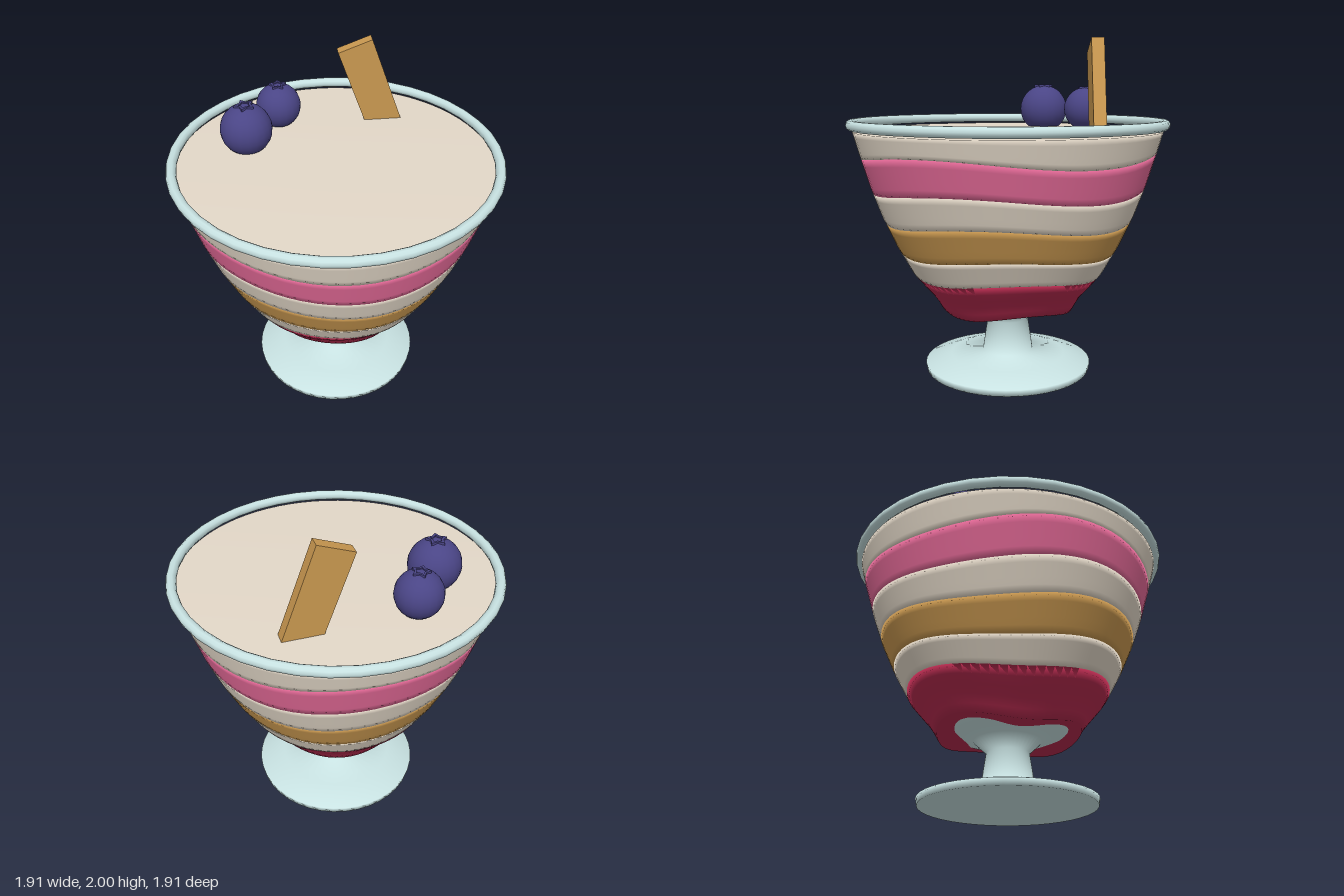
import * as THREE from 'three';

const paint = (name, color) => {
  const m = new THREE.MeshStandardMaterial({ color });
  m.name = name;
  return m;
};
const V2 = (x, y) => new THREE.Vector2(x, y);

export function createModel() {
  const group = new THREE.Group();
  const glass = paint('pale glass', 0xc8e2e2);
  const cream = paint('cream', 0xe3d8c8);
  const pink = paint('pink mousse', 0xe56a98);
  const caramel = paint('caramel', 0xc99850);
  const red = paint('red jelly', 0xb52a4e);
  const navy = paint('berry blue', 0x4a4586);

  const add = (name, geometry, material, parent = group) => {
    const mesh = new THREE.Mesh(geometry, material);
    mesh.name = name;
    parent.add(mesh);
    return mesh;
  };

  // Foot, stem and the lower part of the cup
  const footProfile = [
    [0, 0], [0.505, 0], [0.512, 0.04], [0.35, 0.085], [0.155, 0.11], [0.125, 0.31],
    [0.2, 0.38], [0.31, 0.41], [0.432, 0.47], [0.4, 0.5], [0, 0.5],
  ].map(p => V2(...p));
  add('glassFoot', new THREE.LatheGeometry(footProfile, 40), glass);

  // Rim ring
  const rim = add('glassRim', new THREE.TorusGeometry(0.925, 0.03, 10, 40), glass);
  rim.rotation.x = Math.PI / 2;
  rim.position.y = 1.512;

  // Radius of the filled cup at a given height
  const wall = [[0.35, 0.385], [0.385, 0.4], [0.47, 0.448], [0.62, 0.578], [0.8, 0.678],
    [0.98, 0.76], [1.15, 0.822], [1.36, 0.885], [1.475, 0.917]];
  const radiusAt = y => {
    let i = 1;
    while (i < wall.length - 1 && wall[i][0] < y) i++;
    const [[y0, r0], [y1, r1]] = [wall[i - 1], wall[i]];
    return r0 + (r1 - r0) * (y - y0) / (y1 - y0);
  };

  // Wavy boundaries between layers: height, wave size, angle of a trough in degrees
  const levels = [
    [0.41, 0.026, 30], [0.64, 0.026, 20], [0.783, 0.027, 14], [0.968, 0.03, 5],
    [1.143, 0.028, -4], [1.338, 0.028, -14], [1.475, 0, 0],
  ];
  const edge = ([y, size, dip], angle) => y - size * Math.cos(3 * (angle - dip * Math.PI / 180));

  const layers = [
    ['redLayer', red], ['lowerCreamLayer', cream], ['caramelLayer', caramel],
    ['middleCreamLayer', cream], ['pinkLayer', pink], ['topCreamLayer', cream],
  ];
  const rows = 5;
  layers.forEach(([name, material], n) => {
    const low = levels[n], high = levels[n + 1];
    const profile = [V2(0, low[0])];
    for (let i = 0; i <= rows; i++) {
      const y = low[0] + (high[0] - low[0]) * i / rows;
      profile.push(V2(radiusAt(y), y));
    }
    profile.push(V2(0, high[0]));
    const geometry = new THREE.LatheGeometry(profile, 72);
    const pos = geometry.attributes.position;
    // Bend each ring to the waves, keeping it on the cup wall
    for (let v = 0; v < pos.count; v++) {
      const row = v % profile.length - 1;
      if (row < 0 || row > rows) continue;
      const angle = Math.atan2(pos.getX(v), pos.getZ(v));
      const y = THREE.MathUtils.lerp(edge(low, angle), edge(high, angle), row / rows);
      const r = radiusAt(y);
      pos.setXYZ(v, r * Math.sin(angle), y, r * Math.cos(angle));
    }
    add(name, geometry, material);
  });

  // Star-shaped crown of a berry, as a ring with a hole
  const starPoints = scale => {
    const points = [];
    for (let i = 0; i < 10; i++) {
      const a = i * Math.PI / 5 + Math.PI / 2, r = (i % 2 ? 0.24 : 0.4) * scale;
      points.push(V2(r * Math.cos(a), r * Math.sin(a)));
    }
    return points;
  };
  const star = new THREE.Shape(starPoints(1));
  star.holes.push(new THREE.Path(starPoints(0.62)));
  const crownGeometry = new THREE.ExtrudeGeometry(star, { depth: 0.1, bevelEnabled: false });
  crownGeometry.rotateX(-Math.PI / 2);

  // Berries
  [[-0.41, 1.587, -0.37, 0.153, 0.1], [-0.145, 1.592, -0.56, 0.136, -0.3]].forEach(([x, y, z, r, turn]) => {
    const berry = new THREE.Group();
    berry.name = 'berry';
    berry.position.set(x, y, z);
    berry.rotation.y = turn;
    berry.scale.setScalar(r);
    add('berryBody', new THREE.SphereGeometry(1, 20, 14), navy, berry);
    add('berryCrown', crownGeometry, navy, berry).position.y = 0.93;
    group.add(berry);
  });

  // Wafer stick leaning in the cream
  const wafer = add('wafer', new THREE.BoxGeometry(0.215, 0.56, 0.072), caramel);
  wafer.position.set(0.392, 1.7, -0.404);
  wafer.rotation.set(0, -0.28, 0.35, 'YXZ');

  return group;
}
